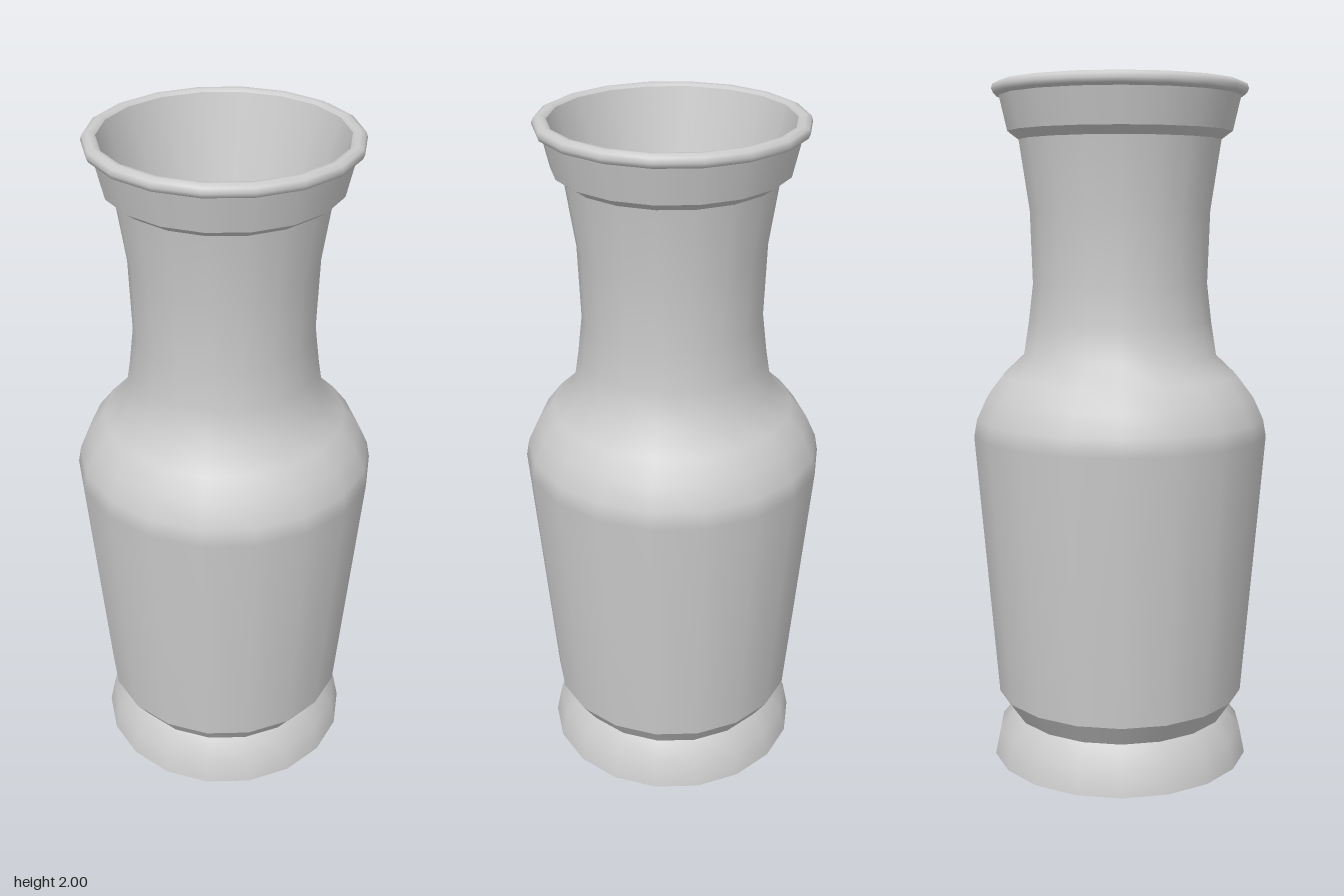
import * as THREE from 'three';

const SIDES = 18;
const material = new THREE.MeshStandardMaterial({ color: 0xcccccc });

// Each part is a lathed strip: smooth inside, sharp where it meets the next.
// Points run [radius, height] along the skin: up the outside, down the inside.
const PARTS = {
  underside: [[0, 0], [0.386, 0]],
  foot: [[0.386, 0], [0.37, 0.08], [0.326, 0.135]],
  bodyFlare: [[0.326, 0.135], [0.37, 0.2]],
  body: [
    [0.37, 0.2], [0.435, 0.985], [0.426, 1.035], [0.396, 1.1],
    [0.35, 1.16], [0.286, 1.22], [0.27, 1.32], [0.257, 1.43],
    [0.264, 1.64], [0.294, 1.84],
  ],
  collarLedge: [[0.294, 1.84], [0.326, 1.863]],
  collar: [[0.326, 1.863], [0.349, 1.962]],
  rim: [
    [0.349, 1.962], [0.365, 1.968], [0.37, 1.98], [0.366, 1.993],
    [0.352, 2], [0.339, 1.999], [0.331, 1.992],
  ],
  // The bowl inside stays within the neck all the way down
  innerWall: [[0.331, 1.992], [0.173, 1.4]],
  innerFloor: [[0.173, 1.4], [0, 1.4]],
};

export function createModel() {
  const vase = new THREE.Group();
  vase.name = 'vase';
  for (const [name, profile] of Object.entries(PARTS)) {
    const points = profile.map(([r, y]) => new THREE.Vector2(r, y));
    // Start on +x so that a corner lies on the x axis
    const geometry = new THREE.LatheGeometry(points, SIDES, Math.PI / 2);
    const mesh = new THREE.Mesh(geometry, material);
    mesh.name = name;
    vase.add(mesh);
  }
  return vase;
}
